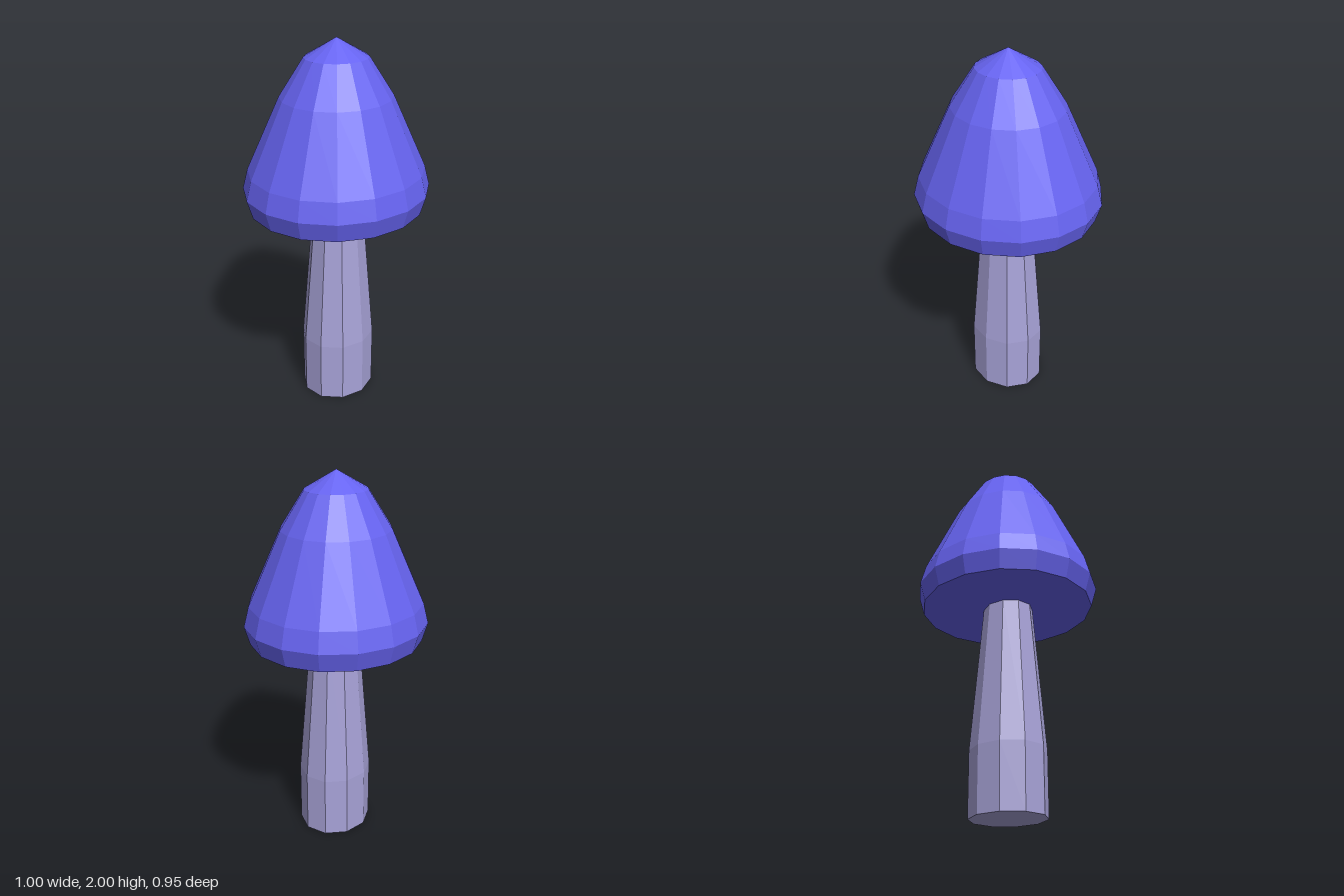
import * as THREE from 'three';

// Faceted solid of revolution from [radius, height] pairs, listed bottom to top
function facetedLathe(name, profile, sides, color) {
  const points = profile.map(([r, y]) => new THREE.Vector2(r, y));
  const material = new THREE.MeshStandardMaterial({ color, flatShading: true });
  const mesh = new THREE.Mesh(new THREE.LatheGeometry(points, sides), material);
  mesh.name = name;
  return mesh;
}

export function createModel() {
  const model = new THREE.Group();
  model.name = 'mushroom';

  // Ten-sided stem: straight foot, then a taper up into the cap
  const stem = facetedLathe('stem', [
    [0, 0], [0.21, 0], [0.21, 0.34], [0.139, 1.14], [0, 1.14],
  ], 10, 0xa8a3d8);
  stem.scale.z = 0.91;
  stem.position.z = 0.009;

  // Sixteen-sided bell cap with a flat underside, slightly narrower in depth
  const cap = facetedLathe('cap', [
    [0, 1.125], [0.47, 1.125], [0.5, 1.225], [0.472, 1.33],
    [0.295, 1.71], [0.167, 1.905], [0, 2],
  ], 16, 0x6663f0);
  cap.scale.z = 0.955;

  model.add(stem, cap);
  return model;
}
